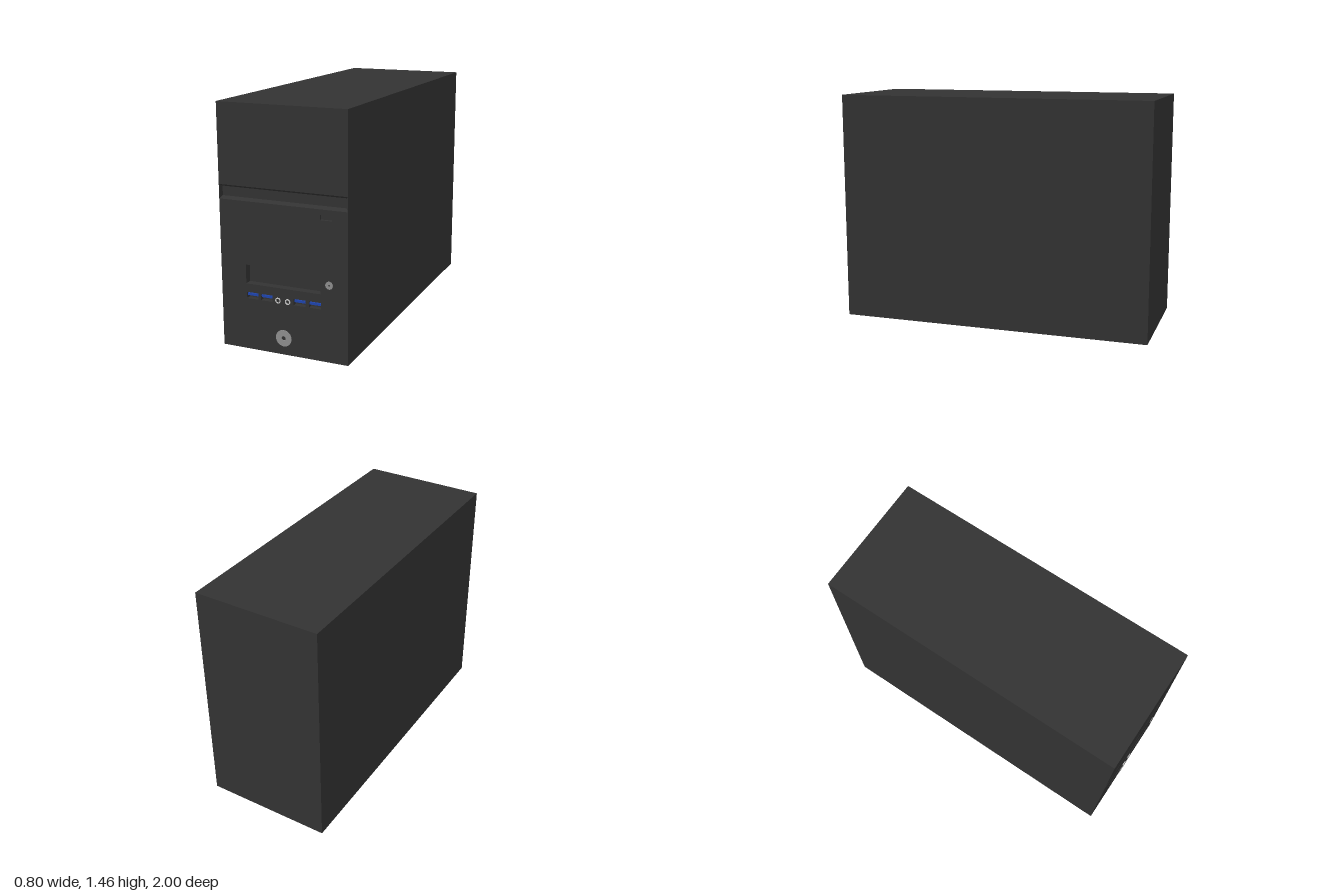
import * as THREE from 'three';

const W = 0.402, H = 1.457, FRONT = 0.996;

// Corner lists, counter-clockwise as seen from the front
const rect = (x0, y0, x1, y1) => [[x0, y0], [x1, y0], [x1, y1], [x0, y1]];
const circle = (x, y, r, n = 32) => Array.from({ length: n }, (_, i) => {
  const a = (i / n) * Math.PI * 2;
  return [x + r * Math.cos(a), y + r * Math.sin(a)];
});
const toPath = (points, Type) => new Type(points.map(([x, y]) => new THREE.Vector2(x, y)));

// Pocket walls running from a front outline to a back outline, closed by a floor
function recessGeometry(front, back, depth) {
  const pos = [], n = front.length;
  const f = (i) => [...front[i % n], FRONT];
  const b = (i) => [...back[i % n], FRONT - depth];
  for (let i = 0; i < n; i++) {
    pos.push(...f(i), ...f(i + 1), ...b(i + 1), ...f(i), ...b(i + 1), ...b(i));
    if (i > 0 && i < n - 1) pos.push(...b(0), ...b(i), ...b(i + 1));
  }
  const geo = new THREE.BufferGeometry();
  geo.setAttribute('position', new THREE.Float32BufferAttribute(pos, 3));
  geo.computeVertexNormals();
  return geo;
}

// Flat ring standing slightly proud of the front
function ringGeometry(x, y, outer, inner) {
  const shape = toPath(circle(x, y, outer), THREE.Shape);
  shape.holes.push(toPath(circle(x, y, inner), THREE.Path));
  const geo = new THREE.ExtrudeGeometry(shape, { depth: 0.008, bevelEnabled: false });
  return geo.translate(0, 0, 1 - 0.008);
}

export function createModel() {
  const model = new THREE.Group();
  const dark = new THREE.MeshStandardMaterial({ color: 0x333333 });
  const blue = new THREE.MeshStandardMaterial({ color: 0x1f45b0 });
  const grey = new THREE.MeshStandardMaterial({ color: 0x909090 });
  const light = new THREE.MeshStandardMaterial({ color: 0xcccccc });
  const add = (name, geo, mat) => {
    const mesh = new THREE.Mesh(geo, mat);
    mesh.name = name;
    model.add(mesh);
  };

  // Case shell: a box with its front side left out
  const shell = new THREE.BoxGeometry(W * 2, H, FRONT + 1).translate(0, H / 2, (FRONT - 1) / 2);
  const index = Array.from(shell.index.array);
  index.splice(24, 6);
  shell.setIndex(index);
  shell.clearGroups();
  add('caseShell', shell, dark);

  // Pockets cut into the front
  const recesses = [];
  const addRecess = (name, front, depth, back = front) => {
    recesses.push(front);
    add(name, recessGeometry(front, back, depth), dark);
  };
  addRecess('gripGroove', rect(-0.4, 0.896, 0.4, 0.981), 0.018, rect(-0.388, 0.913, 0.388, 0.969));
  addRecess('indicatorSlot', rect(0.235, 0.835, 0.306, 0.865), 0.015);
  addRecess('cardBay', rect(-0.24, 0.404, 0.235, 0.518), 0.045);

  // Ports, each with a blue tongue
  for (const x of [-0.2, -0.108, 0.102, 0.198]) {
    addRecess('port', rect(x - 0.037, 0.314, x + 0.037, 0.352), 0.03);
    add('portTongue', new THREE.BoxGeometry(0.07, 0.014, 0.026).translate(x, 0.339, FRONT - 0.017), blue);
  }

  // Audio jacks with light rims
  for (const x of [-0.035, 0.027]) {
    addRecess('audioJack', circle(x, 0.328, 0.011), 0.03);
    add('audioJackRim', ringGeometry(x, 0.328, 0.017, 0.011), light);
  }

  // Front face with the pocket openings
  const face = toPath(rect(-W, 0, W, H), THREE.Shape);
  face.holes = recesses.map((points) => toPath(points, THREE.Path));
  add('frontFace', new THREE.ShapeGeometry(face).translate(0, 0, FRONT), dark);

  // Round buttons
  add('powerButton', ringGeometry(-0.002, 0.102, 0.05, 0.013), grey);
  add('resetButton', ringGeometry(0.288, 0.463, 0.023, 0.006), grey);

  return model;
}
